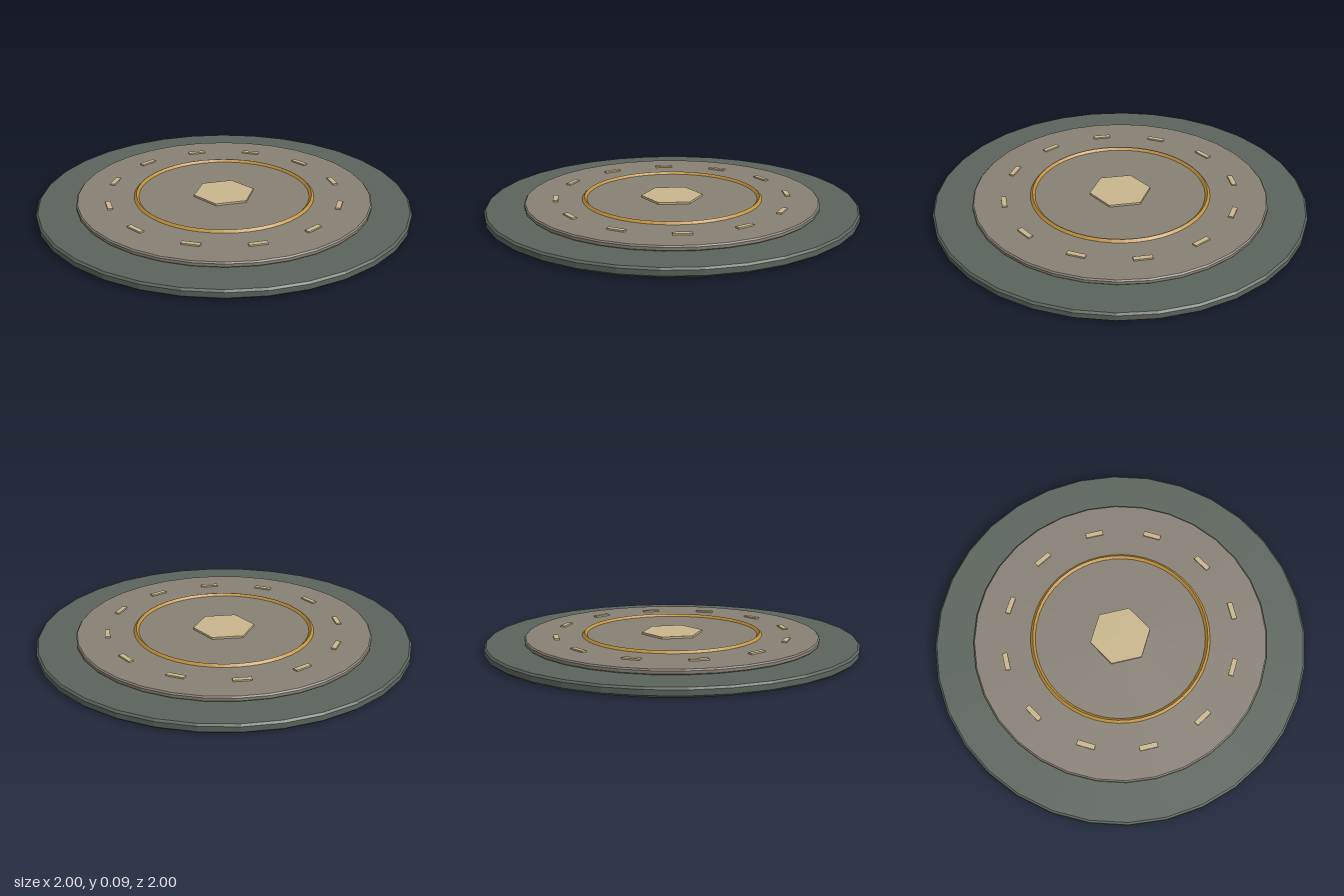
import * as THREE from 'three';

const paint = (name, color) => {
  const m = new THREE.MeshStandardMaterial({ color, flatShading: true });
  m.name = name;
  return m;
};

// Closed round slab with a small chamfer on both rims
function slab(radius, y0, y1, chamfer, sides) {
  const profile = [
    [0, y0], [radius - chamfer, y0], [radius, y0 + chamfer],
    [radius, y1 - chamfer], [radius - chamfer, y1], [0, y1],
  ].map(([x, y]) => new THREE.Vector2(x, y));
  return new THREE.LatheGeometry(profile, sides);
}

export function createModel() {
  const model = new THREE.Group();
  model.name = 'roundPlatform';
  const slate = paint('slateGreen', 0x5b645c);
  const stone = paint('warmStone', 0x878075);
  const gold = paint('gold', 0xbf903a);
  const sand = paint('paleSand', 0xc8b68c);

  const add = (name, geometry, material, parent = model) => {
    const mesh = new THREE.Mesh(geometry, material);
    mesh.name = name;
    parent.add(mesh);
    return mesh;
  };

  // Two stacked discs
  add('base', slab(1, 0, 0.047, 0.01, 32), slate);
  add('upperDisc', slab(0.79, 0.045, 0.074, 0.007, 32), stone);

  // Raised ridge with a diamond section
  const ring = add('ring', new THREE.TorusGeometry(0.47, 0.016, 4, 48), gold);
  ring.rotation.x = -Math.PI / 2;
  ring.position.y = 0.071;

  // Six-sided centre plate, corners towards front and back
  const hub = add('centrePlate', new THREE.CylinderGeometry(0.165, 0.165, 0.017, 6), sand);
  hub.position.y = 0.0765;

  // Twelve marker blocks around the disc
  const markers = new THREE.Group();
  markers.name = 'markers';
  model.add(markers);
  const block = new THREE.BoxGeometry(0.096, 0.016, 0.027);
  for (let i = 0; i < 12; i++) {
    const a = (i * Math.PI) / 6;
    const marker = add('marker', block, sand, markers);
    marker.position.set(Math.sin(a) * 0.623, 0.074, Math.cos(a) * 0.623);
    marker.rotation.y = a;
  }
  return model;
}
